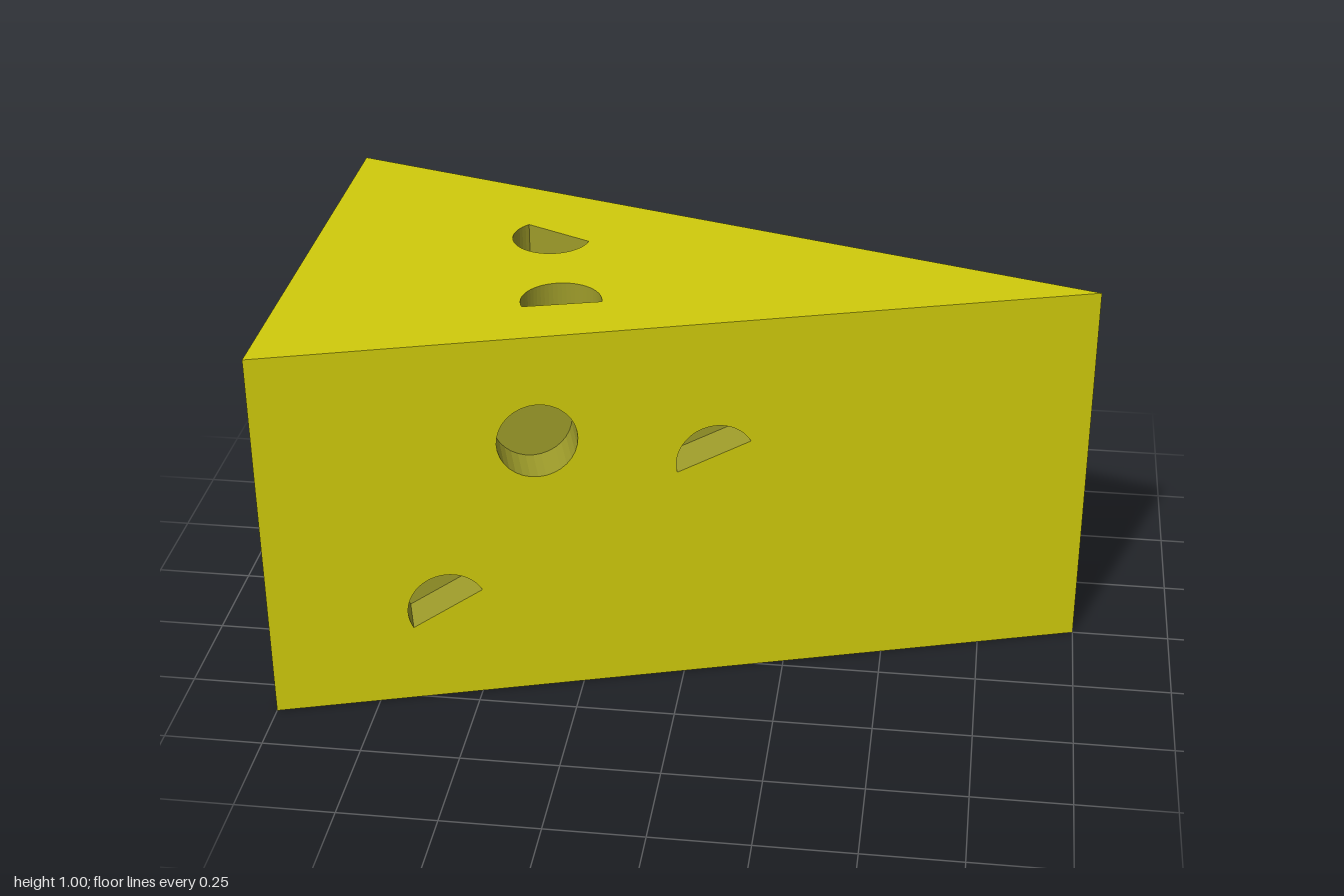
import * as THREE from 'three';

const HALF = 0.61;                         // half width of the rind end
const TILT = Math.atan2(HALF, 2);          // angle of the cut faces
const SIDE = Math.hypot(HALF, 2);          // length of the cut faces
const RADIUS = 0.1, DEPTH = 0.11;          // size of the pits

const cheese = new THREE.MeshStandardMaterial({ color: 0xd0cb0c });
const pit = new THREE.MeshStandardMaterial({ color: 0x9d9b2a, flatShading: true });

// Disc cut by a chord: h is the signed distance from centre to chord, -RADIUS gives a full disc
function discPoints({ x, y, turn = 0, h = 0 }) {
  const s = Math.asin(h / RADIUS), t = THREE.MathUtils.degToRad(turn), n = 32;
  const pts = [];
  for (let i = 0; i <= n; i++) {
    const a = t + s + (Math.PI - 2 * s) * i / n;
    pts.push(new THREE.Vector2(x + RADIUS * Math.cos(a), y + RADIUS * Math.sin(a)));
  }
  if (h === -RADIUS) pts.pop();
  return pts;
}

// Inward-facing wall running down from the rim
function wallGeometry(pts) {
  const pos = [];
  pts.forEach((p, i) => {
    const q = pts[(i + 1) % pts.length];
    pos.push(p.x, p.y, -DEPTH, q.x, q.y, 0, q.x, q.y, -DEPTH);
    pos.push(p.x, p.y, -DEPTH, p.x, p.y, 0, q.x, q.y, 0);
  });
  const g = new THREE.BufferGeometry();
  g.setAttribute('position', new THREE.Float32BufferAttribute(pos, 3));
  g.computeVertexNormals();
  return g;
}

function addMesh(parent, name, geometry, material) {
  const mesh = new THREE.Mesh(geometry, material);
  mesh.name = name;
  parent.add(mesh);
  return mesh;
}

// Flat face in its own xy plane, with pits sunk into it
function pittedFace(name, outline, pits) {
  const face = new THREE.Group();
  face.name = name;
  const shape = new THREE.Shape(outline.map(([x, y]) => new THREE.Vector2(x, y)));
  for (const spec of pits) {
    const pts = discPoints(spec);
    shape.holes.push(new THREE.Path(pts));
    addMesh(face, 'pitWall', wallGeometry(pts), pit);
    addMesh(face, 'pitFloor', new THREE.ShapeGeometry(new THREE.Shape(pts)), pit).position.z = -DEPTH;
  }
  addMesh(face, name + 'Surface', new THREE.ShapeGeometry(shape), cheese);
  return face;
}

export function createModel() {
  const model = new THREE.Group();
  model.name = 'cheeseWedge';
  const triangle = [[-1, -HALF], [1, 0], [-1, HALF]];

  // Front cut face: one round pit and two half pits
  const L = SIDE / 2;
  const front = pittedFace('frontFace', [[-L, 0], [L, 0], [L, 1], [-L, 1]], [
    { x: -0.361, y: 0.717, h: -RADIUS },
    { x: -0.6, y: 0.258, turn: 28 },
    { x: 0.082, y: 0.618, turn: 21, h: 0.014 },
  ]);
  front.rotation.y = TILT;
  front.position.z = HALF / 2;

  // Top face: two pits cut by a chord
  const top = pittedFace('topFace', triangle, [
    { x: -0.402, y: 0.157, turn: 154, h: -0.031 },
    { x: -0.314, y: -0.207, turn: 15.4, h: -0.019 },
  ]);
  top.rotation.x = -Math.PI / 2;
  top.position.y = 1;

  // Plain faces: underside, back cut and rind end
  const bottom = pittedFace('bottomFace', triangle, []);
  bottom.rotation.x = Math.PI / 2;
  model.add(front, top, bottom);

  const back = addMesh(model, 'backFace', new THREE.PlaneGeometry(SIDE, 1), cheese);
  back.rotation.y = Math.PI - TILT;
  back.position.set(0, 0.5, -HALF / 2);

  const rind = addMesh(model, 'rindEnd', new THREE.PlaneGeometry(HALF * 2, 1), cheese);
  rind.rotation.y = -Math.PI / 2;
  rind.position.set(-1, 0.5, 0);

  return model;
}
